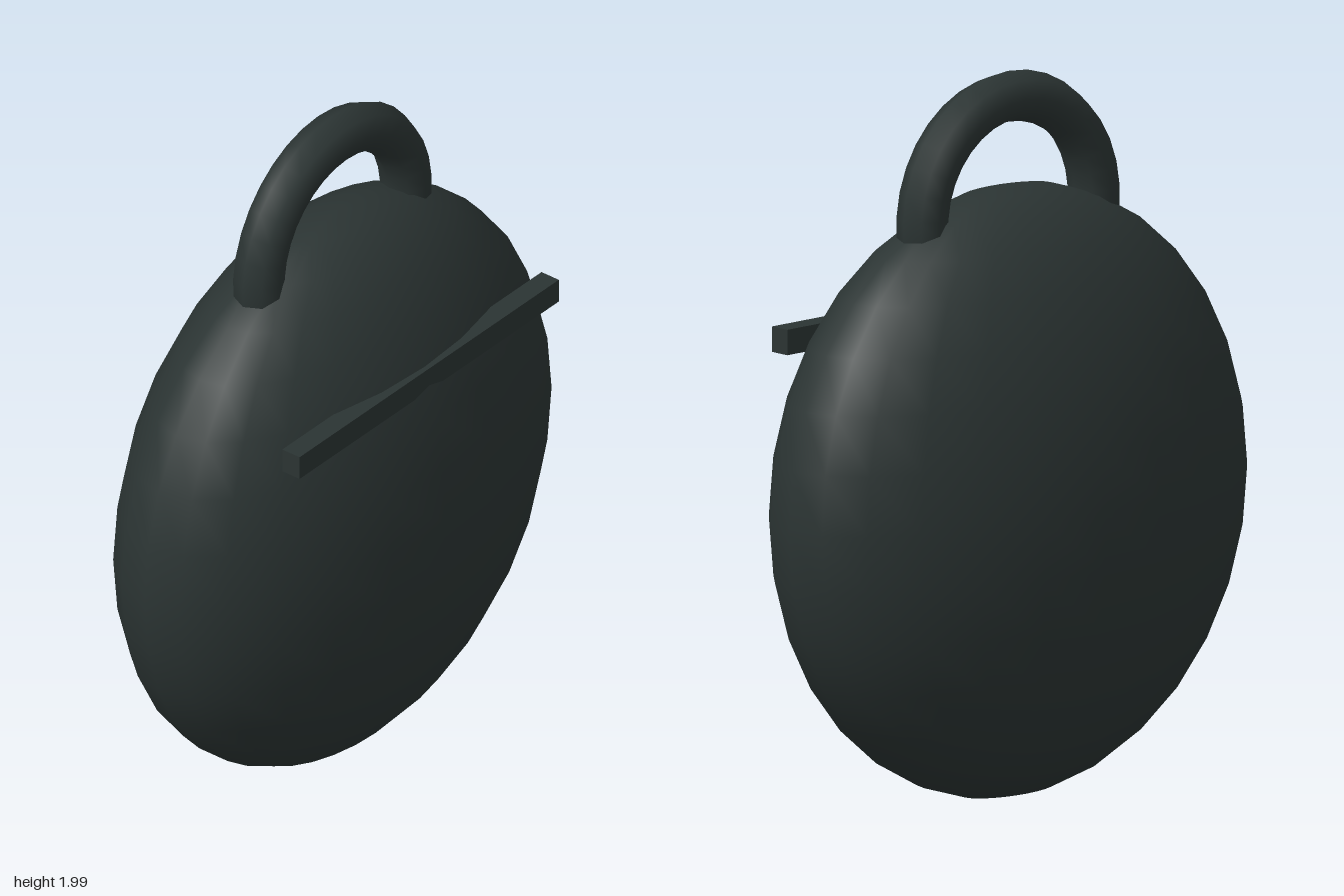
import * as THREE from 'three';

export function createModel() {
  const model = new THREE.Group();
  const charcoal = new THREE.MeshStandardMaterial({ color: 0x2b3433 });
  charcoal.name = 'charcoal';
  charcoal.side = THREE.DoubleSide;

  const add = (name, geometry, x, y, z) => {
    const mesh = new THREE.Mesh(geometry, charcoal);
    mesh.name = name;
    mesh.position.set(x, y, z);
    model.add(mesh);
  };

  // Flattened round body
  add('body', new THREE.SphereGeometry(1, 24, 16).scale(0.805, 0.84, 0.39), 0, 0.847, 0);

  // Carrying loop, its ends sunk into the top of the body
  const sink = 0.3;
  const loop = new THREE.TorusGeometry(0.315, 0.07, 8, 20, Math.PI + 2 * sink).rotateZ(-sink);
  add('handle', loop, 0, 1.615, 0);

  // Straight bar across the upper front
  add('frontBar', new THREE.BoxGeometry(1.11, 0.07, 0.06), 0, 1.29, 0.305);

  return model;
}
